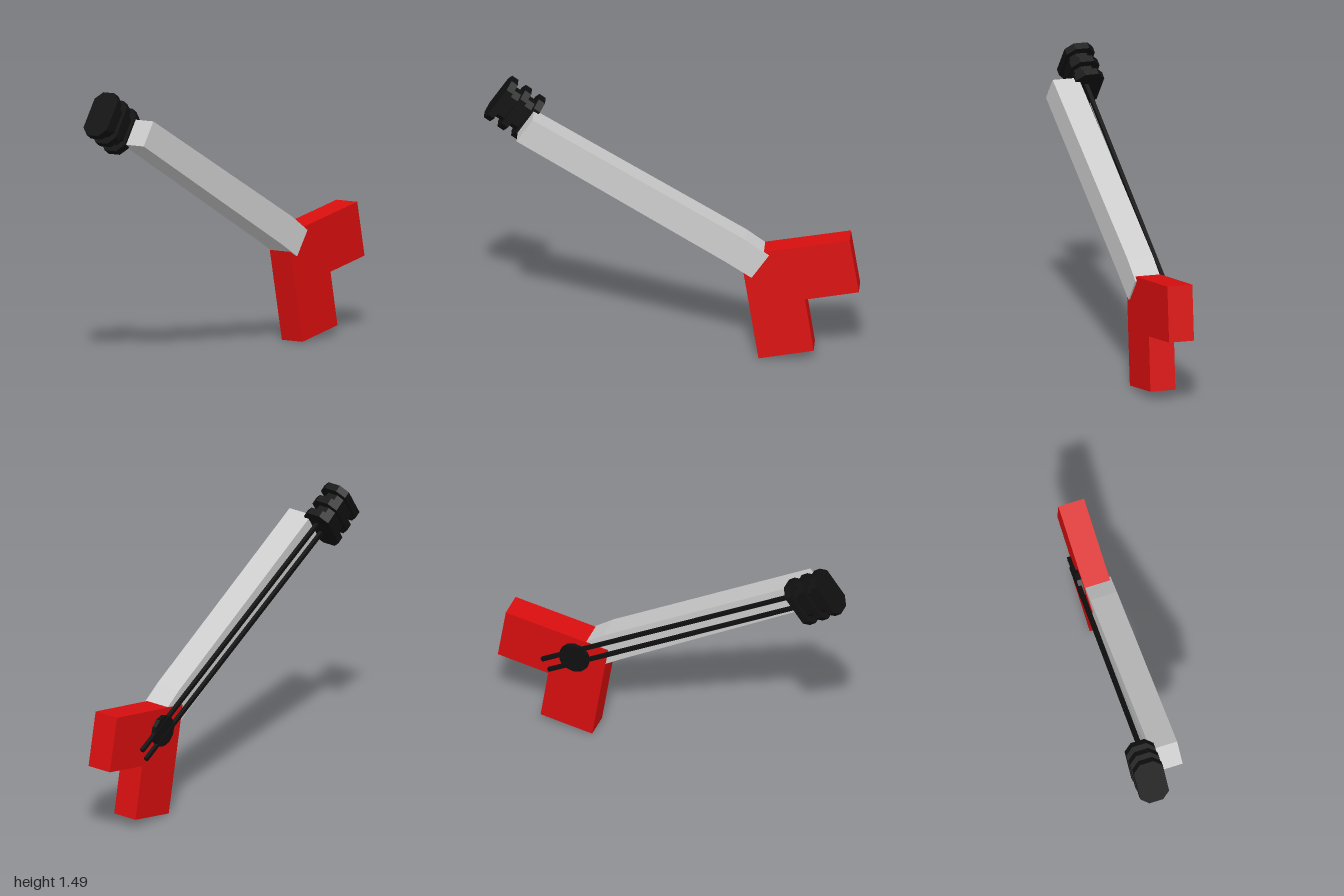
import * as THREE from 'three';

const material = (color) => new THREE.MeshStandardMaterial({ color, flatShading: true });
const RED = material(0xd80e0e), GREY = material(0xcccccc), BLACK = material(0x101010);

function part(name, geometry, mat) {
  const mesh = new THREE.Mesh(geometry, mat);
  mesh.name = name;
  return mesh;
}

// Side profile of [z, y] points, given thickness from x0 to x1
function sidePlate(points, x0, x1) {
  const shape = new THREE.Shape(points.map(([z, y]) => new THREE.Vector2(z, y)));
  return new THREE.ExtrudeGeometry(shape, { depth: x1 - x0, bevelEnabled: false })
    .rotateY(-Math.PI / 2).translate(x1, 0, 0);
}

// Rectangle with cut corners, extruded along z and centred
function chamferedBlock(w, h, c, depth) {
  const shape = new THREE.Shape([
    [w, -h + c], [w, h - c], [w - c, h], [-w + c, h],
    [-w, h - c], [-w, -h + c], [-w + c, -h], [w - c, -h],
  ].map(([x, y]) => new THREE.Vector2(x, y)));
  return new THREE.ExtrudeGeometry(shape, { depth, bevelEnabled: false }).translate(0, 0, -depth / 2);
}

// Square bar between two points
function bar(name, from, to, size) {
  const a = new THREE.Vector3(...from), b = new THREE.Vector3(...to);
  const mesh = part(name, new THREE.BoxGeometry(size, size, a.distanceTo(b)), BLACK);
  mesh.position.copy(a).add(b).multiplyScalar(0.5);
  mesh.lookAt(b);
  return mesh;
}

export function createModel() {
  const model = new THREE.Group();
  model.name = 'model';
  const body = new THREE.Group();
  body.name = 'body';
  body.rotation.z = 0.033; // slight sideways lean
  model.add(body);

  // L-shaped base
  body.add(part('base', sidePlate([
    [-0.465, 0], [-0.368, 0.59], [-0.947, 0.685], [-0.996, 0.39], [-0.711, 0.342], [-0.757, 0.05],
  ], 0.014, 0.156), RED));

  // Long arm with a bent lower end
  body.add(part('arm', sidePlate([
    [0.818, 1.219], [0.733, 1.342], [-0.396, 0.68], [-0.519, 0.592], [-0.428, 0.464], [-0.294, 0.55],
  ], 0.018, 0.165), GREY));

  // Ribbed head: narrow core with three plates
  const head = new THREE.Group();
  head.name = 'head';
  head.position.set(-0.036, 1.329, 0.837);
  head.rotation.x = -0.61;
  head.add(part('headCore', chamferedBlock(0.06, 0.09, 0.03, 0.2), BLACK));
  for (const z of [-0.088, 0, 0.088]) {
    const plate = part('headPlate', chamferedBlock(0.08, 0.128, 0.042, 0.04), BLACK);
    plate.position.z = z;
    head.add(plate);
  }
  body.add(head);

  // Pair of rods along the side of the arm
  for (const s of [-1, 1]) {
    const dy = 0.03 * s, dz = -0.018 * s;
    body.add(bar('rod', [-0.001, 0.41 + dy, -0.72 + dz], [-0.024, 1.28 + dy, 0.76 + dz], 0.02));
  }

  // Round pivot disc near the lower end of the rods
  const disc = part('pivotDisc', new THREE.CylinderGeometry(0.085, 0.085, 0.03, 12).rotateZ(Math.PI / 2), BLACK);
  disc.position.set(0.004, 0.5, -0.555);
  body.add(disc);

  return model;
}
